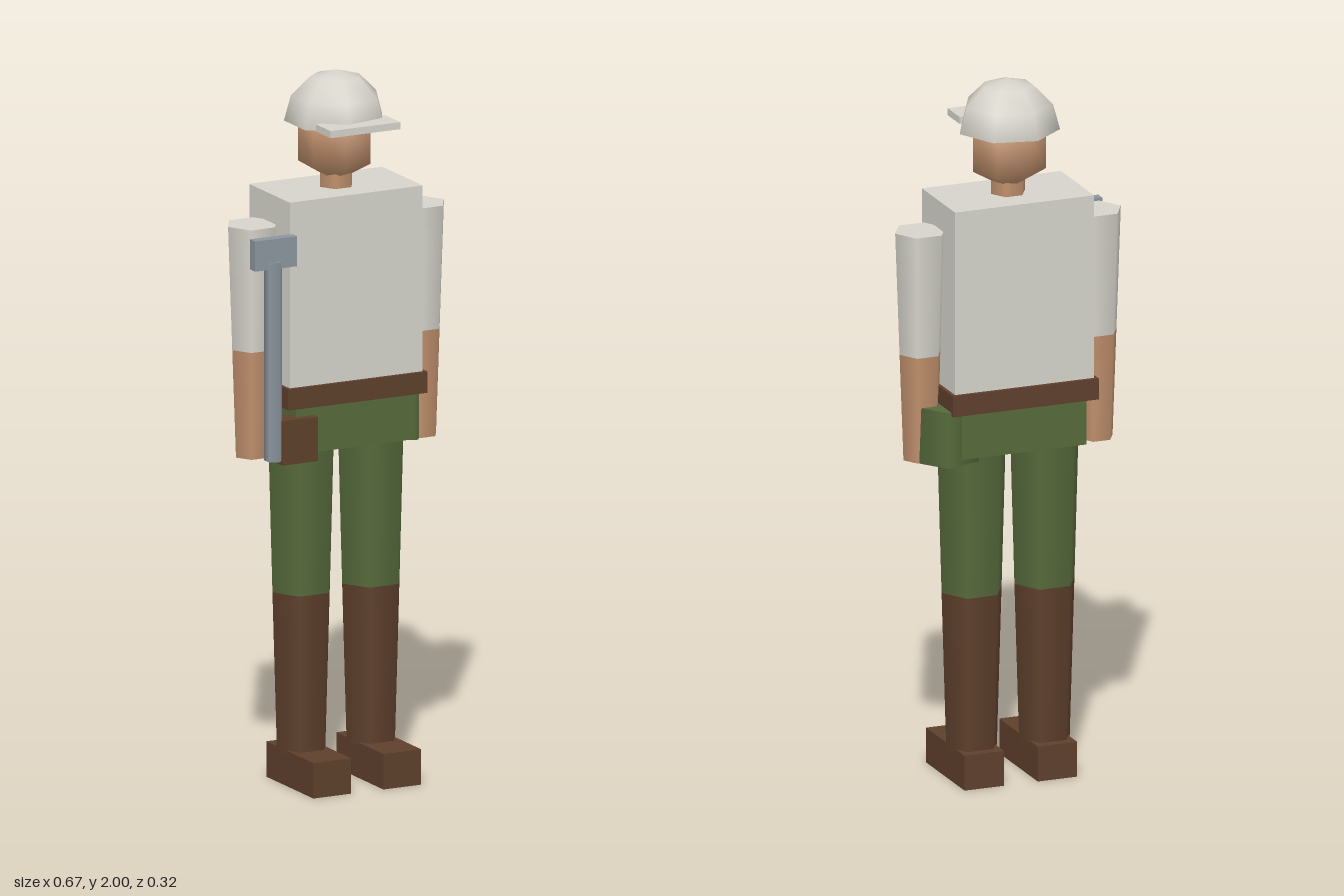
import * as THREE from 'three';

export function createModel() {
  const model = new THREE.Group();
  model.name = 'worker';

  const mat = (name, color) => {
    const m = new THREE.MeshStandardMaterial({ color });
    m.name = name;
    return m;
  };
  const cloth = mat('off-white cloth', 0xd6d4cb);
  const skin = mat('skin', 0xc0906c);
  const green = mat('green trousers', 0x566a3b);
  const brown = mat('brown leather', 0x5e402c);
  const metal = mat('grey metal', 0x8c969f);
  cloth.side = THREE.DoubleSide; // the cap is open underneath

  const Z = -0.022; // depth of the body's centre line

  const add = (name, geometry, material, x, y, z) => {
    const mesh = new THREE.Mesh(geometry, material);
    mesh.name = name;
    mesh.position.set(x, y, z);
    model.add(mesh);
    return mesh;
  };

  // Box given by its limits on each axis
  const box = (name, material, [x0, x1], [y0, y1], [z0, z1]) =>
    add(name, new THREE.BoxGeometry(x1 - x0, y1 - y0, z1 - z0), material,
      (x0 + x1) / 2, (y0 + y1) / 2, (z0 + z1) / 2);

  // Upright tapered prism with one corner pointing to +x
  const prism = (name, material, x, z, y0, y1, rBottom, rTop, sides) =>
    add(name, new THREE.CylinderGeometry(rTop, rBottom, y1 - y0, sides).rotateY(Math.PI / 2),
      material, x, (y0 + y1) / 2, z);

  // Trunk
  box('torso', cloth, [-0.206, 0.206], [1.15, 1.675], [-0.141, 0.097]);
  box('belt', brown, [-0.216, 0.216], [1.09, 1.15], [-0.152, 0.107]);
  box('hips', green, [-0.185, 0.185], [0.96, 1.09], [-0.138, 0.094]);

  // Neck and head
  prism('neck', skin, 0, Z, 1.66, 1.76, 0.05, 0.05, 6);
  add('head', new THREE.SphereGeometry(0.12, 7, 3).rotateY(Math.PI), skin, 0, 1.805, Z);

  // Cap with a flat visor
  const dome = new THREE.SphereGeometry(0.143, 7, 3, 0, Math.PI * 2, 0, Math.PI / 2);
  add('cap', dome.rotateY(Math.PI), cloth, 0, 1.858, Z);
  box('visor', cloth, [-0.108, 0.108], [1.858, 1.878], [0.064, 0.151]);

  // Limbs, mirrored: each is one taper split where its colour changes
  for (const [side, s] of [['left', 1], ['right', -1]]) {
    prism(side + 'Sleeve', cloth, s * 0.26, Z, 1.245, 1.595, 0.0615, 0.0745, 6);
    prism(side + 'Forearm', skin, s * 0.26, Z, 0.94, 1.245, 0.05, 0.0615, 6);
    prism(side + 'Thigh', green, s * 0.108, Z, 0.545, 1.03, 0.089, 0.103, 6);
    prism(side + 'Boot', brown, s * 0.108, Z, 0.09, 0.545, 0.075, 0.089, 6);
    const x = s * 0.1085;
    box(side + 'Foot', brown, [x - 0.0585, x + 0.0585], [0, 0.1], [-0.115, 0.162]);
  }

  // Gear hanging from the belt
  prism('canteen', green, 0.196, -0.054, 0.94, 1.1, 0.093, 0.093, 5);
  box('pouch', brown, [-0.24, -0.13], [0.94, 1.065], [0.054, 0.118]);

  // Hammer
  prism('hammerHandle', metal, -0.262, 0.108, 0.955, 1.52, 0.0264, 0.0264, 5);
  box('hammerHead', metal, [-0.327, -0.197], [1.5, 1.585], [0.093, 0.123]);

  return model;
}
